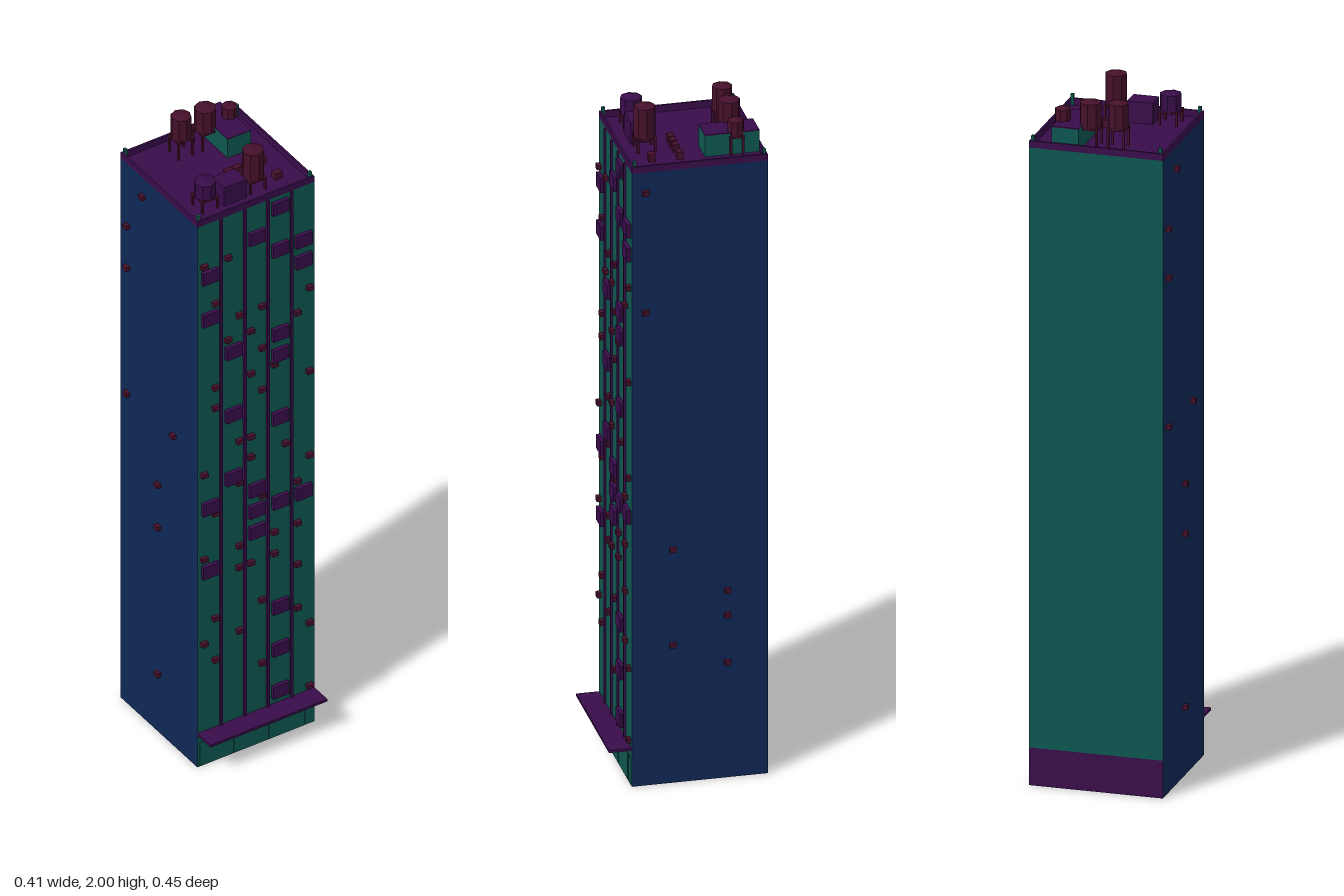
import * as THREE from 'three';

const mat = (name, color, side = THREE.FrontSide) => {
  const m = new THREE.MeshStandardMaterial({ color, side, flatShading: true });
  m.name = name;
  return m;
};

export function createModel() {
  const model = new THREE.Group();
  model.name = 'towerBlock';
  const teal = mat('teal', 0x0f5750, THREE.DoubleSide);
  const navy = mat('navy', 0x0f2856, THREE.DoubleSide);
  const purple = mat('purple', 0x380d4a, THREE.DoubleSide);
  const maroon = mat('maroon', 0x45102a);

  const W = 0.193, ZB = -0.225, ZF = 0.16, ROOF = 1.86, FLOOR = 0.11;
  const depth = ZF - ZB, zMid = (ZF + ZB) / 2;

  const add = (name, geo, material, x, y, z, parent = model) => {
    const m = new THREE.Mesh(geo, material);
    m.name = name;
    m.position.set(x, y, z);
    parent.add(m);
    return m;
  };
  const box = (name, w, h, d, material, x, y, z, parent) =>
    add(name, new THREE.BoxGeometry(w, h, d), material, x, y, z, parent);
  const group = (name) => {
    const g = new THREE.Group();
    g.name = name;
    model.add(g);
    return g;
  };

  // Hollow shell, open underneath
  add('frontWall', new THREE.PlaneGeometry(2 * W, ROOF), teal, 0, ROOF / 2, ZF);
  add('backWall', new THREE.PlaneGeometry(2 * W, ROOF - FLOOR), teal, 0, (ROOF + FLOOR) / 2, ZB).rotation.y = Math.PI;
  add('backBase', new THREE.PlaneGeometry(2 * W, FLOOR), purple, 0, FLOOR / 2, ZB).rotation.y = Math.PI;
  for (const s of [-1, 1]) {
    add('sideWall', new THREE.PlaneGeometry(depth, ROOF), navy, s * W, ROOF / 2, zMid).rotation.y = s * Math.PI / 2;
  }
  add('roof', new THREE.PlaneGeometry(2 * W, depth), purple, 0, ROOF, zMid).rotation.x = -Math.PI / 2;

  // Parapet with small corner posts
  const parapet = group('parapet');
  const t = 0.006, ph = 0.02, py = ROOF + ph / 2;
  for (const s of [-1, 1]) {
    box('parapetSide', t, ph, depth, purple, s * (W - t / 2), py, zMid, parapet);
    box('parapetEnd', 2 * W - 2 * t, ph, t, purple, 0, py, zMid + s * (depth - t) / 2, parapet);
    for (const z of [ZB + 0.009, ZF - 0.009]) {
      box('cornerPost', 0.009, 0.034, 0.009, teal, s * 0.184, ROOF + 0.017, z, parapet);
    }
  }

  // Street canopy and shutters
  box('canopy', 2 * W, 0.008, 0.065, purple, 0, 0.113, ZF + 0.0325);
  for (const [a, b] of [[-0.186, -0.084], [-0.074, 0.034], [0.042, 0.15], [0.16, 0.191]]) {
    box('shutter', b - a, 0.08, 0.004, teal, (a + b) / 2, 0.043, ZF);
  }

  // Vertical strips between the window columns
  for (const x of [-0.116, -0.038, 0.038, 0.116]) {
    box('facadeStrip', 0.008, ROOF - 0.117, 0.006, purple, x, (ROOF + 0.117) / 2, ZF + 0.003);
  }

  // Window cages: one list of storeys for each column
  const storey = (k) => 0.16 + 0.0724 * k;
  const cages = group('windowCages');
  [[7, 10, 19, 21], [11, 14, 17], [8, 9, 10, 22], [0, 2, 4, 9, 13, 16, 17, 21, 23], [9, 20, 21]]
    .forEach((list, c) => list.forEach((k) =>
      box('windowCage', 0.052, 0.042, 0.012, purple, (c - 2) * 0.077, storey(k), ZF + 0.006, cages)));

  // Front air conditioners: storey, then half-column slots from left to right
  const units = group('airConditioners');
  const slots = [-0.174, -0.137, -0.095, -0.058, -0.02, 0.017, 0.058, 0.095, 0.134, 0.174];
  const unitRows = {
    1.72: [0, 2], 1.58: [1], 1.507: [3, 5, 9], 1.437: [2, 4, 8], 1.364: [5],
    1.29: [1, 4, 6], 1.22: [1, 5, 9], 1.073: [3, 4], 1.003: [0, 4, 7], 0.93: [3, 9],
    0.856: [1, 5, 8], 0.712: [0, 3, 6, 8], 0.638: [3, 4, 6], 0.57: [8], 0.495: [1, 5],
    0.42: [0, 3, 8], 0.352: [1, 9], 0.278: [5], 0.135: [9],
  };
  for (const [y, list] of Object.entries(unitRows)) {
    for (const i of list) box('airConditioner', 0.02, 0.014, 0.013, maroon, slots[i], +y, ZF + 0.0065, units);
  }

  // Side air conditioners: side, y, z
  for (const [s, y, z] of [
    [1, 1.8, 0.122], [1, 1.437, 0.122], [1, 0.71, 0.045], [1, 0.57, -0.11], [1, 0.495, -0.11],
    [1, 0.42, 0.045], [1, 0.352, -0.11],
    [-1, 1.8, -0.11], [-1, 1.65, -0.188], [-1, 1.507, -0.188], [-1, 1.073, 0.045], [-1, 1.073, -0.188],
    [-1, 0.856, -0.032], [-1, 0.71, -0.032], [-1, 0.204, -0.032],
  ]) box('sideAirConditioner', 0.013, 0.014, 0.018, maroon, s * (W + 0.0065), y, z, units);

  // Roof huts
  box('stairHut', 0.077, 0.063, 0.155, teal, 0.0915, ROOF + 0.0315, -0.1395);
  box('stairHutRoof', 0.077, 0.003, 0.155, purple, 0.0915, ROOF + 0.0645, -0.1395);
  box('plantBox', 0.074, 0.063, 0.06, purple, -0.04, ROOF + 0.0315, 0.087);

  // Low roof vents
  for (const [x, z] of [[0.01, 0.007], [0.038, 0.007], [0.068, 0.007], [0.118, 0.007], [0.118, 0.087]]) {
    box('roofVent', 0.024, 0.022, 0.018, maroon, x, ROOF + 0.011, z);
  }

  // Water tanks on legged stands: x, z, radius, bottom, top
  for (const [x, z, r, y0, y1, m] of [
    [-0.042, -0.152, 0.029, 1.92, 2, maroon],
    [0.038, -0.152, 0.031, 1.915, 1.995, maroon],
    [0.118, -0.152, 0.023, 1.915, 1.968, maroon],
    [-0.12, 0.087, 0.031, 1.9, 1.957, purple],
    [0.038, 0.087, 0.031, 1.9, 2, maroon],
  ]) {
    const tank = group('waterTank');
    const lid = 0.01, half = r * 0.92;
    add('tankBarrel', new THREE.CylinderGeometry(r, r, y1 - y0 - lid, 8), m, x, (y0 + y1 - lid) / 2, z, tank);
    add('tankLid', new THREE.ConeGeometry(r, lid, 8), m, x, y1 - lid / 2, z, tank);
    box('tankStand', 2 * half, 0.005, 2 * half, maroon, x, y0 - 0.0025, z, tank);
    const h = y0 - 0.005 - ROOF;
    for (const i of [-1, 1]) for (const j of [-1, 1]) {
      box('tankLeg', 0.006, h, 0.006, maroon, x + i * (half - 0.004), ROOF + h / 2, z + j * (half - 0.004), tank);
    }
  }
  return model;
}
